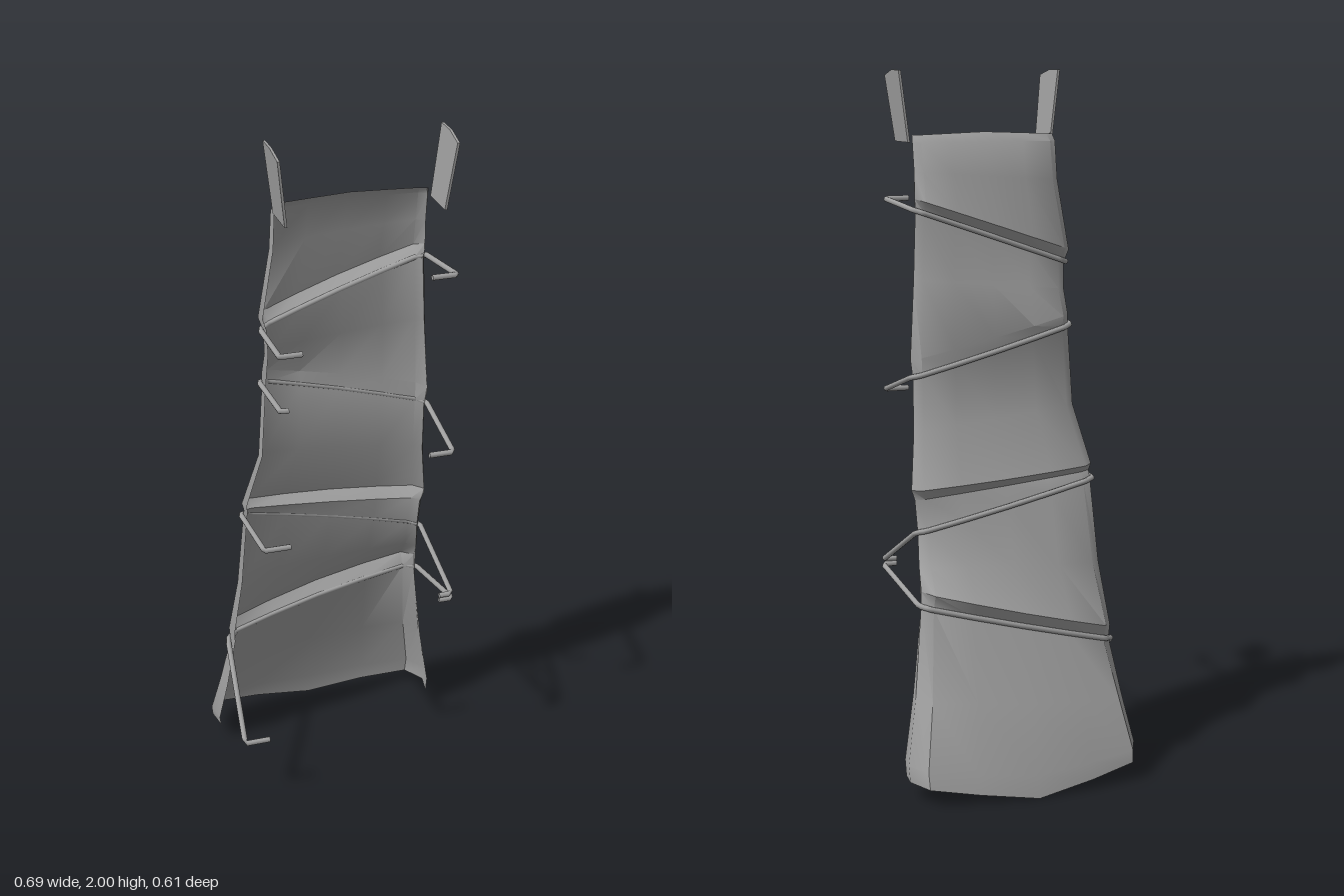
import * as THREE from 'three';
import { toCreasedNormals } from 'three/addons/utils/BufferGeometryUtils.js';

// Cape sections from collar to hem:
// [yRight, yLeft, xRight, xLeft, zFrontEdge, zBack, extra drop at the middle]
const ROWS = [
  [1.82, 1.82, -0.215, 0.21, 0.142, 0.125, -0.008],
  [1.80, 1.80, -0.22, 0.212, 0.14, 0.10, 0],
  [1.69, 1.72, -0.222, 0.212, 0.13, 0.08, 0],
  [1.49, 1.645, -0.25, 0.218, 0.115, 0.05, 0],
  [1.455, 1.615, -0.238, 0.214, 0.11, 0.08, 0],
  [1.38, 1.42, -0.232, 0.225, 0.10, 0.06, 0],
  [1.31, 1.20, -0.234, 0.245, 0.085, 0.015, 0],
  [1.28, 1.15, -0.232, 0.24, 0.07, 0.03, 0],
  [1.05, 1.00, -0.24, 0.245, 0.05, 0.01, 0],
  [0.88, 0.84, -0.28, 0.268, 0.015, -0.05, 0],
  [0.86, 0.81, -0.276, 0.256, 0.01, -0.02, 0],
  [0.84, 0.72, -0.275, 0.252, 0.0, -0.035, 0],
  [0.60, 0.63, -0.287, 0.262, -0.03, -0.085, 0],
  [0.42, 0.57, -0.305, 0.272, -0.06, -0.16, 0],
  [0.38, 0.53, -0.302, 0.272, -0.07, -0.135, 0],
  [0.22, 0.28, -0.325, 0.305, -0.09, -0.225, 0],
  [0.09, 0.10, -0.345, 0.342, -0.12, -0.295, 0.03],
  [0.06, 0.055, -0.34, 0.34, -0.125, -0.305, 0.055],
];

// Cross-section: position across the width and depth from front edge to back
const HALF = [[-0.97, 0], [-1, 0.35], [-0.9, 0.74], [-0.5, 0.91]];
const COLS = [...HALF, [0, 1], ...HALF.map(([u, d]) => [-u, d]).reverse()];

function capePoint([yR, yL, xR, xL, zF, zB, drop], [u, d]) {
  const t = (u + 1) / 2;
  return new THREE.Vector3(
    THREE.MathUtils.lerp(xR, xL, t),
    THREE.MathUtils.lerp(yR, yL, t) - drop * (1 - Math.abs(u)),
    THREE.MathUtils.lerp(zF, zB, d)
  );
}

function capeGeometry() {
  const pos = [], index = [], n = COLS.length;
  ROWS.forEach((row, i) => COLS.forEach((col, j) => {
    pos.push(...capePoint(row, col).toArray());
    if (i < ROWS.length - 1 && j < n - 1) {
      const a = i * n + j, c = a + n;
      index.push(a, a + 1, c, a + 1, c + 1, c);
    }
  }));
  const geo = new THREE.BufferGeometry();
  geo.setAttribute('position', new THREE.Float32BufferAttribute(pos, 3));
  geo.setIndex(index);
  return toCreasedNormals(geo, 0.7);
}

// Cords: the section they cinch, then [side, corner, end] of each front hook
const CORDS = [
  { row: 4, right: [[-0.247, 1.46, 0.29], [-0.185, 1.46, 0.29]],
    left: [[0.235, 1.635, 0.30], [0.165, 1.635, 0.30]] },
  { row: 7, right: [[-0.242, 1.295, 0.275], [-0.22, 1.295, 0.275]],
    left: [[0.255, 1.09, 0.255], [0.185, 1.09, 0.255]] },
  { row: 11, right: [[-0.28, 0.855, 0.23], [-0.205, 0.855, 0.23]],
    left: [[0.283, 0.6, 0.198], [0.245, 0.6, 0.198]] },
  { row: 14, right: [[-0.338, 0.205, 0.195], [-0.265, 0.205, 0.195]],
    left: [[0.285, 0.585, 0.198], [0.245, 0.585, 0.198]] },
];

function cordGeometry({ row, right, left }) {
  const wrap = COLS.slice(1, -1).map((col) => {
    const p = capePoint(ROWS[row], col);
    p.x += 0.007 * col[0];
    p.z -= 0.007 * col[1];
    return p;
  });
  const vec = (p) => new THREE.Vector3(...p);
  const pts = [...right.map(vec).reverse(), ...wrap, ...left.map(vec)];
  const path = new THREE.CurvePath();
  for (let i = 1; i < pts.length; i++) path.add(new THREE.LineCurve3(pts[i - 1], pts[i]));
  return new THREE.TubeGeometry(path, 80, 0.008, 8, false);
}

// Upright shoulder tab, leaning outward
function tabGeometry(side) {
  const outline = [[0.145, 1.8], [0.255, 1.8], [0.275, 1.985], [0.21, 2], [0.148, 2]];
  const shape = new THREE.Shape(outline.map(([z, y]) => new THREE.Vector2(z, y)));
  const geo = new THREE.ExtrudeGeometry(shape, { depth: 0.007, bevelEnabled: false });
  const p = geo.attributes.position;
  for (let i = 0; i < p.count; i++) {
    const z = p.getX(i), y = p.getY(i);
    p.setXYZ(i, side * (0.212 + p.getZ(i) + (y - 1.8) * 0.125), y, z);
  }
  geo.computeVertexNormals();
  return geo;
}

export function createModel() {
  const group = new THREE.Group();
  const grey = new THREE.MeshStandardMaterial({ color: 0xa0a0a0, side: THREE.DoubleSide });
  grey.name = 'plain grey';
  const add = (name, geo) => {
    const mesh = new THREE.Mesh(geo, grey);
    mesh.name = name;
    group.add(mesh);
  };

  add('cape', capeGeometry());
  CORDS.forEach((cord, i) => add('cord' + (i + 1), cordGeometry(cord)));
  add('leftShoulderTab', tabGeometry(1));
  add('rightShoulderTab', tabGeometry(-1));
  return group;
}
